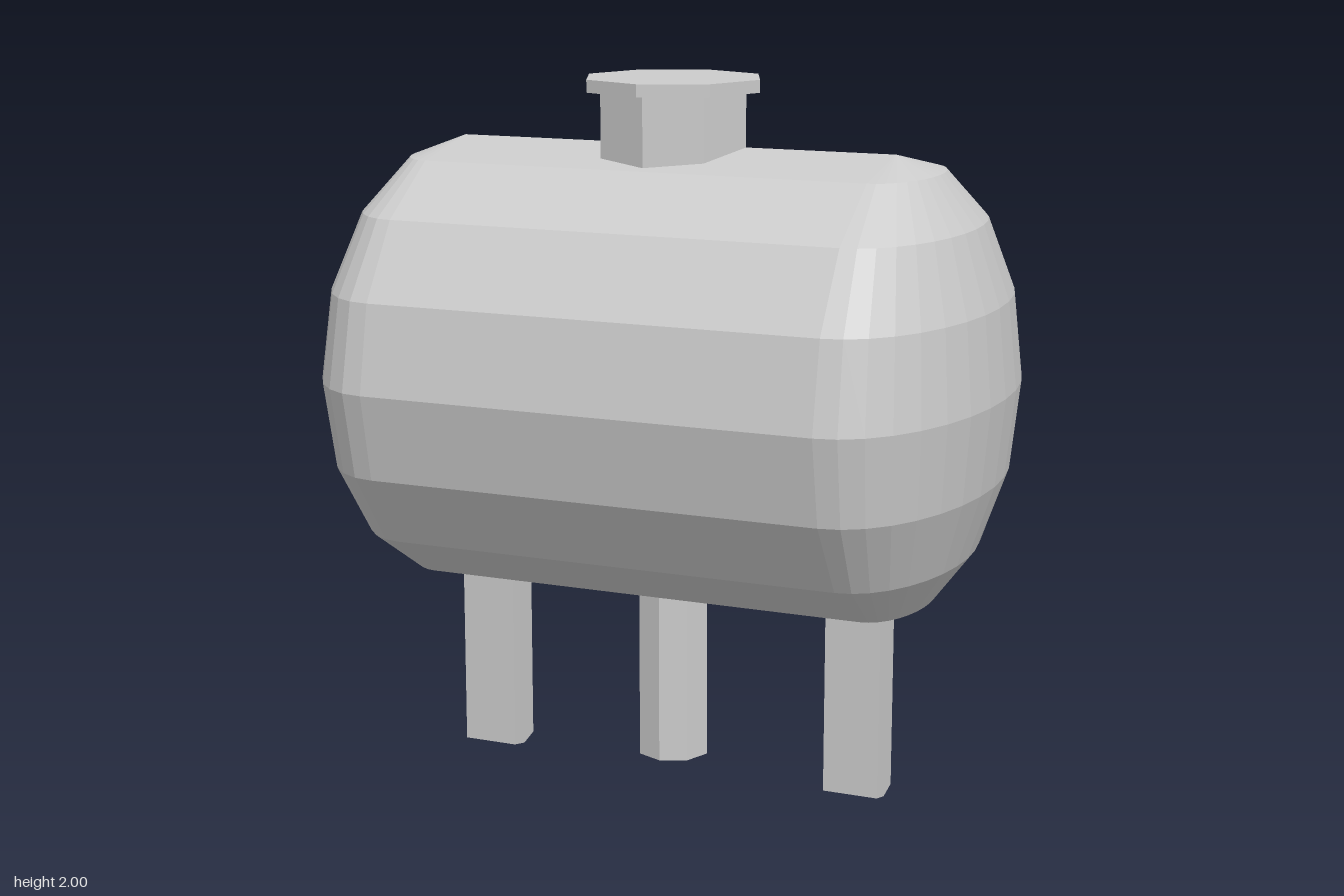
import * as THREE from 'three';

const material = new THREE.MeshStandardMaterial({ color: 0xcccccc, flatShading: true });

function addPart(parent, name, geometry, x = 0, y = 0, z = 0) {
  const mesh = new THREE.Mesh(geometry, material);
  mesh.name = name;
  mesh.position.set(x, y, z);
  parent.add(mesh);
  return mesh;
}

// Upright eight-sided cylinder between two heights
function addOctagon(parent, name, radius, bottom, top) {
  const geometry = new THREE.CylinderGeometry(radius, radius, top - bottom, 8);
  return addPart(parent, name, geometry, 0, (bottom + top) / 2, 0);
}

export function createModel() {
  const model = new THREE.Group();
  model.name = 'storageTank';

  const radius = 0.64, halfLength = 0.645, centreY = 1.175;

  // Horizontal barrel
  const barrel = new THREE.CylinderGeometry(radius, radius, halfLength * 2, 16, 1, true);
  barrel.rotateZ(Math.PI / 2);
  addPart(model, 'tankBarrel', barrel, 0, centreY, 0);

  // Leg profile in z and y, with a shallow ridge underneath
  const legShape = new THREE.Shape([
    new THREE.Vector2(-0.062, 0.015),
    new THREE.Vector2(0, 0),
    new THREE.Vector2(0.062, 0.015),
    new THREE.Vector2(0.062, 0.62),
    new THREE.Vector2(-0.062, 0.62),
  ]);

  for (const [side, sign] of [['left', 1], ['right', -1]]) {
    // Flattened half-sphere end with its poles at top and bottom
    const end = new THREE.SphereGeometry(radius, 16, 8, Math.PI / 2, Math.PI);
    end.scale(0.5, 1, 1);
    if (sign < 0) end.rotateY(Math.PI);
    addPart(model, side + 'DomedEnd', end, sign * halfLength, centreY, 0);

    // Leg
    const leg = new THREE.ExtrudeGeometry(legShape, { depth: 0.16, bevelEnabled: false });
    leg.translate(0, 0, -0.08);
    leg.rotateY(Math.PI / 2);
    addPart(model, side + 'Leg', leg, sign * 0.565, 0, 0);
  }

  // Drain pipe below, manhole neck and lid above
  addOctagon(model, 'drainPipe', 0.105, 0.05, 0.6);
  addOctagon(model, 'manholeNeck', 0.215, 1.7, 1.965);
  addOctagon(model, 'manholeLid', 0.255, 1.965, 2);

  return model;
}
